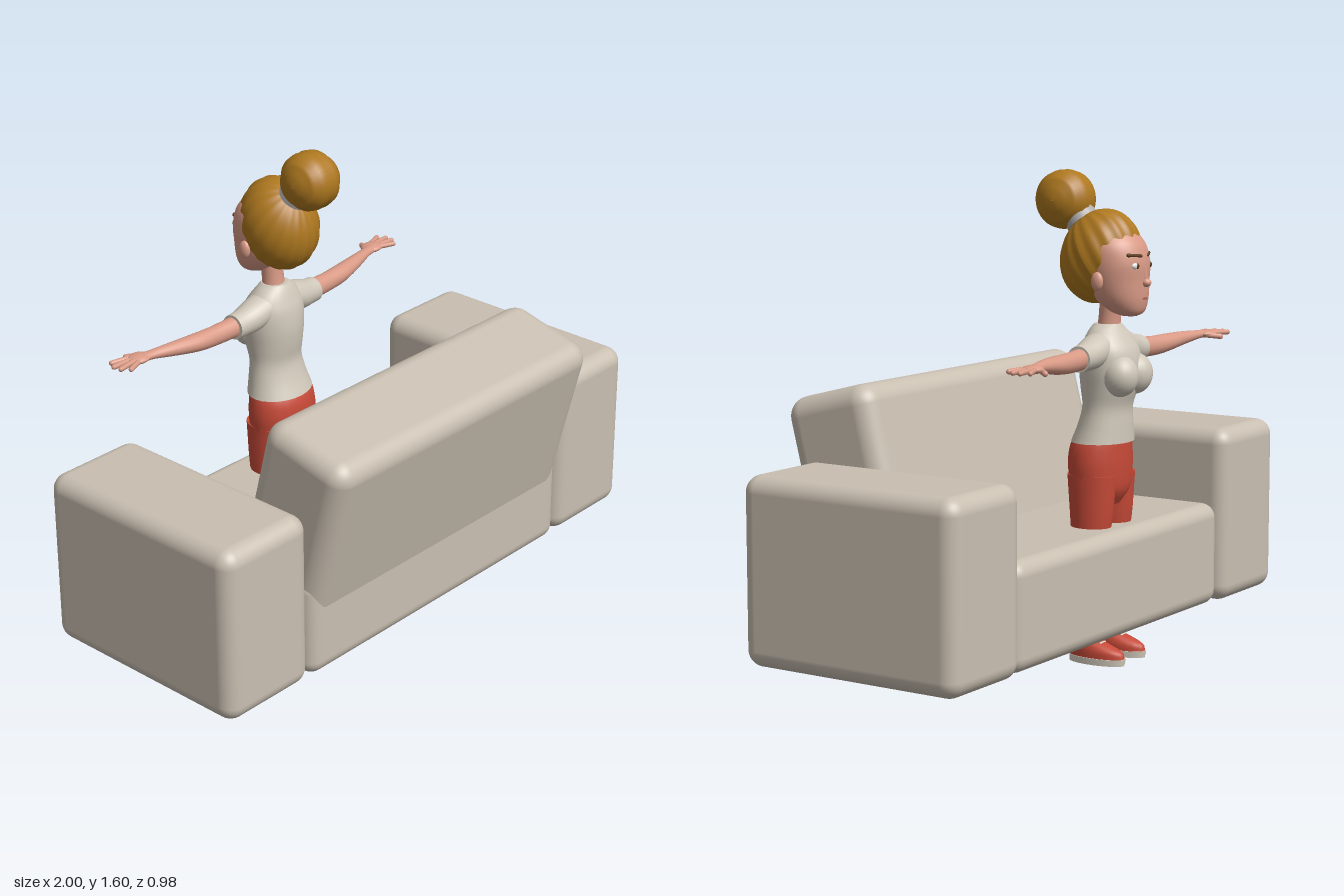
import * as THREE from 'three';
import { RoundedBoxGeometry } from 'three/addons/geometries/RoundedBoxGeometry.js';

const mat = (name, color) => {
  const m = new THREE.MeshStandardMaterial({ color });
  m.name = name;
  return m;
};

// Smooth capped loft through rings [t, u, v, ru, rv]; t runs along y (or x when alongX)
function loft(rings, alongX = false, segs = 24) {
  const mid = new THREE.CatmullRomCurve3(rings.map(r => new THREE.Vector3(r[0], r[1], r[2])), false, 'catmullrom');
  const rad = new THREE.CatmullRomCurve3(rings.map(r => new THREE.Vector3(r[3], r[4], 0)), false, 'catmullrom');
  const n = (rings.length - 1) * 4;
  const pos = [], idx = [];
  const add = (t, u, v) => (alongX ? pos.push(t, u, v) : pos.push(u, t, v));
  const tri = (a, b, c) => (alongX ? idx.push(a, c, b) : idx.push(a, b, c));
  const ring = k => {
    const c = mid.getPoint(k / n), r = rad.getPoint(k / n);
    for (let j = 0; j < segs; j++) {
      const a = (j / segs) * Math.PI * 2;
      add(c.x, c.y + r.x * Math.cos(a), c.z + r.y * Math.sin(a));
    }
    return c;
  };
  for (let i = 0; i <= n; i++) ring(i);
  for (let i = 0; i < n; i++) {
    for (let j = 0; j < segs; j++) {
      const a = i * segs + j, b = i * segs + (j + 1) % segs;
      tri(a, a + segs, b);
      tri(b, a + segs, b + segs);
    }
  }
  for (const k of [0, n]) {
    const base = pos.length / 3;
    const c = ring(k);
    add(c.x, c.y, c.z);
    for (let j = 0; j < segs; j++) {
      const a = base + j, b = base + (j + 1) % segs;
      if (k === 0) tri(base + segs, a, b); else tri(base + segs, b, a);
    }
  }
  const g = new THREE.BufferGeometry();
  g.setAttribute('position', new THREE.Float32BufferAttribute(pos, 3));
  g.setIndex(idx);
  g.computeVertexNormals();
  return g;
}

const ball = (x, y, z, rx, ry, rz) =>
  new THREE.SphereGeometry(1, 24, 16).scale(rx, ry, rz).translate(x, y, z);

// Round-ended rod between two points
function rod(a, b, r) {
  const p = new THREE.Vector3(...a), q = new THREE.Vector3(...b);
  const d = q.clone().sub(p);
  const g = new THREE.CapsuleGeometry(r, d.length(), 4, 10);
  g.applyQuaternion(new THREE.Quaternion().setFromUnitVectors(new THREE.Vector3(0, 1, 0), d.normalize()));
  return g.translate((p.x + q.x) / 2, (p.y + q.y) / 2, (p.z + q.z) / 2);
}

// Copy flipped across x, with the winding restored
function mirrored(geo) {
  const g = geo.clone();
  for (const key of ['position', 'normal']) {
    const at = g.attributes[key];
    for (let i = 0; i < at.count; i++) at.setX(i, -at.getX(i));
  }
  const ix = g.index.array;
  for (let i = 0; i < ix.length; i += 3) [ix[i + 1], ix[i + 2]] = [ix[i + 2], ix[i + 1]];
  return g;
}

export function createModel() {
  const sofaMat = mat('sofa fabric', 0xc9bfb1), shirtMat = mat('shirt cotton', 0xcfc7b9);
  const skin = mat('skin', 0xd99a86), hairMat = mat('hair', 0xae781f);
  const red = mat('red cloth', 0xc74a38), sole = mat('sole and laces', 0xdfd6c8);
  const grey = mat('hair tie grey', 0xb0aeac), white = mat('eye white', 0xeeeae4);
  const dark = mat('brow and iris', 0x5a3a1c), lip = mat('lips', 0xb5655a);

  const model = new THREE.Group();
  const put = (parent, name, geo, m) => {
    const mesh = new THREE.Mesh(geo, m);
    mesh.name = name;
    parent.add(mesh);
    return mesh;
  };

  // Sofa, turned slightly
  const sofa = new THREE.Group();
  sofa.name = 'sofa';
  sofa.rotation.y = -0.04;
  sofa.position.z = -0.06;
  model.add(sofa);
  for (const s of [-1, 1]) {
    put(sofa, s > 0 ? 'leftArmrest' : 'rightArmrest', new RoundedBoxGeometry(0.365, 0.6, 0.8, 5, 0.055), sofaMat)
      .position.set(s * 0.804, 0.4, 0);
  }
  put(sofa, 'seat', new RoundedBoxGeometry(1.25, 0.35, 0.78, 5, 0.05), sofaMat).position.set(0, 0.275, 0.01);
  const back = put(sofa, 'backrest', new RoundedBoxGeometry(1.24, 0.71, 0.345, 5, 0.065), sofaMat);
  back.position.set(0, 0.57, 0.28);
  back.rotation.x = 0.25;

  // Woman, standing through the seat with her back to the backrest
  const woman = new THREE.Group();
  woman.name = 'woman';
  woman.rotation.y = Math.PI;
  woman.position.x = -0.074;
  model.add(woman);
  const one = (name, geo, m) => put(woman, name, geo, m);
  const pair = (name, geo, m) => {
    one(name + 'A', geo, m);
    one(name + 'B', mirrored(geo), m);
  };

  // Torso and clothes
  one('shirt', loft([
    [0.725, 0, 0.305, 0.122, 0.097], [0.78, 0, 0.315, 0.108, 0.085], [0.84, 0, 0.322, 0.099, 0.077],
    [0.9, 0, 0.328, 0.104, 0.09], [0.96, 0, 0.332, 0.112, 0.098], [1.02, 0, 0.33, 0.114, 0.09],
    [1.06, 0, 0.325, 0.1, 0.072], [1.09, 0, 0.321, 0.072, 0.055], [1.108, 0, 0.321, 0.046, 0.043],
  ]), shirtMat);
  pair('bust', ball(0.048, 0.945, 0.392, 0.06, 0.068, 0.062), shirtMat);
  pair('sleeve', loft([
    [0.05, 1.04, 0.322, 0.05, 0.058], [0.11, 1.022, 0.324, 0.052, 0.054],
    [0.16, 1.013, 0.325, 0.045, 0.045], [0.2, 1.01, 0.327, 0.042, 0.042],
  ], true), shirtMat);
  one('hips', loft([
    [0.52, 0, 0.3, 0.06, 0.06], [0.57, 0, 0.3, 0.115, 0.088], [0.64, 0, 0.296, 0.128, 0.098],
    [0.7, 0, 0.298, 0.124, 0.096], [0.74, 0, 0.305, 0.112, 0.088],
  ]), red);
  pair('trouserLeg', loft([
    [0.14, 0.07, 0.275, 0.038, 0.042], [0.32, 0.068, 0.29, 0.048, 0.052],
    [0.46, 0.066, 0.3, 0.059, 0.07], [0.62, 0.062, 0.3, 0.064, 0.085],
  ]), red);

  // Feet
  pair('ankle', loft([[0.06, 0.07, 0.265, 0.027, 0.03], [0.15, 0.07, 0.272, 0.028, 0.03]]), skin);
  pair('shoeSole', loft([[0, 0.07, 0.326, 0.041, 0.1], [0.022, 0.07, 0.328, 0.043, 0.103]]), sole);
  pair('shoe', loft([
    [0.02, 0.07, 0.327, 0.04, 0.1], [0.042, 0.07, 0.322, 0.04, 0.097], [0.06, 0.07, 0.303, 0.037, 0.077],
    [0.075, 0.07, 0.282, 0.034, 0.055], [0.09, 0.07, 0.27, 0.031, 0.04],
  ]), red);
  for (let i = 0; i < 3; i++) {
    const y = 0.079 - i * 0.01, z = 0.329 + i * 0.018;
    pair('lace' + (i + 1), rod([0.056, y, z], [0.084, y, z], 0.004), sole);
  }

  // Arms and hands
  pair('arm', loft([
    [0.18, 1.01, 0.328, 0.035, 0.034], [0.28, 1.007, 0.335, 0.033, 0.031], [0.36, 1.01, 0.341, 0.03, 0.033],
    [0.45, 1.017, 0.354, 0.023, 0.026], [0.53, 1.022, 0.37, 0.015, 0.019], [0.57, 1.023, 0.378, 0.013, 0.024],
  ], true, 18), skin);
  pair('palm', ball(0.578, 1.023, 0.383, 0.042, 0.014, 0.034), skin);
  const fingers = [[0.405, 0.657, 0.424], [0.392, 0.673, 0.398], [0.377, 0.67, 0.37], [0.362, 0.65, 0.345]];
  fingers.forEach(([z0, x1, z1], i) =>
    pair('finger' + (i + 1), rod([0.6, 1.024, z0], [x1, 1.022, z1], 0.0085), skin));
  pair('thumb', rod([0.552, 1.02, 0.395], [0.585, 1.014, 0.433], 0.0095), skin);

  // Neck and head
  one('neck', loft([[1.06, 0, 0.322, 0.045, 0.042], [1.12, 0, 0.327, 0.037, 0.036], [1.2, 0, 0.335, 0.038, 0.038]]), skin);
  one('head', loft([
    [1.136, 0, 0.4, 0.022, 0.025], [1.15, 0, 0.393, 0.056, 0.054], [1.19, 0, 0.372, 0.087, 0.085],
    [1.25, 0, 0.355, 0.105, 0.103], [1.31, 0, 0.35, 0.112, 0.109], [1.37, 0, 0.34, 0.105, 0.1],
    [1.42, 0, 0.33, 0.065, 0.065],
  ], false, 32), skin);
  pair('ear', ball(0.115, 1.252, 0.345, 0.014, 0.03, 0.021), skin);
  one('nose', ball(0, 1.245, 0.46, 0.016, 0.014, 0.017), skin);
  one('noseBridge', rod([0, 1.25, 0.456], [0, 1.295, 0.451], 0.01), skin);
  pair('eye', ball(0.043, 1.3, 0.443, 0.02, 0.012, 0.011).rotateY(0), white);
  pair('iris', ball(0.042, 1.3, 0.451, 0.008, 0.009, 0.005), dark);
  pair('eyebrow', rod([0.022, 1.331, 0.451], [0.068, 1.335, 0.431], 0.006), dark);
  one('lips', ball(0, 1.195, 0.449, 0.026, 0.009, 0.009), lip);

  // Hair: ridges gather at the pole under the bun
  const hair = new THREE.SphereGeometry(1, 128, 32);
  const p = hair.attributes.position;
  for (let i = 0; i < p.count; i++) {
    const x = p.getX(i), y = p.getY(i), z = p.getZ(i);
    const k = 1 + 0.016 * Math.cos(18 * Math.atan2(z, x)) * Math.min(1, 2 * Math.hypot(x, z));
    p.setXYZ(i, x * k, y, z * k);
  }
  hair.rotateX(-0.95).scale(0.125, 0.155, 0.131).rotateX(0.35).translate(0, 1.323, 0.295);
  hair.computeVertexNormals();
  one('hair', hair, hairMat);
  one('hairTie', new THREE.CylinderGeometry(0.053, 0.056, 0.032, 24).rotateX(-0.64).translate(0, 1.444, 0.218), grey);

  // Bun: coiled steps turned about the sideways axis
  const half = [[0.001, 0.088], [0.034, 0.085], [0.04, 0.076], [0.066, 0.07], [0.073, 0.059], [0.091, 0.038], [0.096, 0.014], [0.091, 0]];
  const profile = [...half.map(([r, x]) => [r, -x]), ...half.slice(0, -1).reverse()];
  const bun = new THREE.LatheGeometry(profile.map(([r, x]) => new THREE.Vector2(r, x)), 36);
  one('bun', bun.rotateZ(Math.PI / 2).translate(0, 1.502, 0.162), hairMat);

  return model;
}
